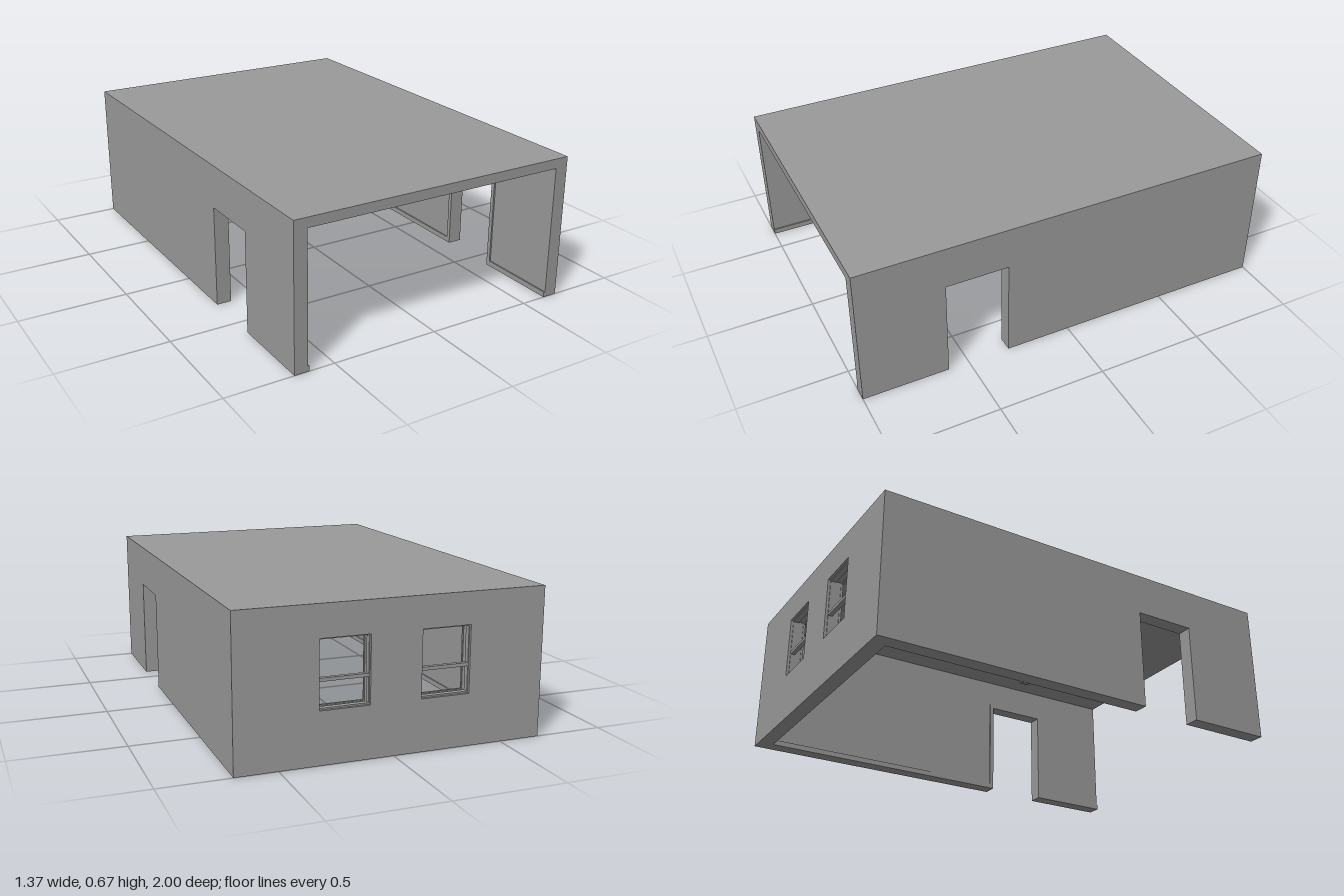
import * as THREE from 'three';

export function createModel() {
  const model = new THREE.Group();
  model.name = 'building';
  const material = new THREE.MeshStandardMaterial({ color: 0x9a9a9a, flatShading: true });

  const W = 0.687, H = 0.667, T = 0.062;      // half width, height, wall thickness
  const ceiling = 0.622, inner = W - T;
  const door = { z0: 0.305, z1: 0.598, top: 0.47, trim: 0.02 };

  function add(parent, name, geometry) {
    const mesh = new THREE.Mesh(geometry, material);
    mesh.name = name;
    parent.add(mesh);
    return mesh;
  }
  function box(parent, name, x0, x1, y0, y1, z0, z1) {
    const g = new THREE.BoxGeometry(x1 - x0, y1 - y0, z1 - z0);
    g.translate((x0 + x1) / 2, (y0 + y1) / 2, (z0 + z1) / 2);
    return add(parent, name, g);
  }
  function rect(Type, x0, x1, y0, y1) {
    return new Type([[x0, y0], [x1, y0], [x1, y1], [x0, y1]].map(p => new THREE.Vector2(...p)));
  }
  const extrude = (shape, depth) => new THREE.ExtrudeGeometry(shape, { depth, bevelEnabled: false });

  // Shape drawn as (z, y), extruded along x from x0
  function sidePanel(parent, name, points, x0, depth) {
    const shape = new THREE.Shape(points.map(([z, y]) => new THREE.Vector2(-z, y)));
    const g = extrude(shape, depth);
    g.rotateY(Math.PI / 2);
    g.translate(x0, 0, 0);
    return add(parent, name, g);
  }

  // Roof slab
  box(model, 'roof', -W, W, ceiling, H, -1, 1);

  // Side walls with a doorway each, inner door casing and baseboards
  for (const side of [1, -1]) {
    const wall = new THREE.Group();
    wall.name = side > 0 ? 'leftWall' : 'rightWall';
    model.add(wall);
    const { z0, z1, top, trim } = door;
    const at = (a, b) => (side > 0 ? a : -b);
    sidePanel(wall, 'wallWithDoorway', [
      [-1, 0], [z0, 0], [z0, top], [z1, top], [z1, 0], [1, 0], [1, ceiling], [-1, ceiling],
    ], at(inner, W), T);
    const t = 0.007;
    sidePanel(wall, 'doorCasing', [
      [z0 - trim, 0], [z0, 0], [z0, top], [z1, top], [z1, 0], [z1 + trim, 0],
      [z1 + trim, top + trim], [z0 - trim, top + trim],
    ], at(inner - t, inner), t);
    const b0 = at(inner - t, inner), b1 = b0 + t;
    box(wall, 'baseboardRear', b0, b1, 0, 0.025, -1 + T, z0 - trim);
    box(wall, 'baseboardFront', b0, b1, 0, 0.025, z1 + trim, 1);
  }

  // Back wall with two window openings
  const backShape = rect(THREE.Shape, -inner, inner, 0, ceiling);
  const windows = [[-0.341, -0.121], [0.108, 0.328]];
  const sill = 0.231, head = 0.526;
  for (const [x0, x1] of windows) backShape.holes.push(rect(THREE.Path, x0, x1, sill, head));
  add(model, 'backWall', extrude(backShape, T)).position.z = -1;
  box(model, 'backBaseboard', -inner, inner, 0, 0.025, -1 + T, -1 + T + 0.007);

  // Windows: inner casing, thin sash and crossbar
  for (const [x0, x1] of windows) {
    const win = new THREE.Group();
    win.name = 'window';
    model.add(win);
    const casing = rect(THREE.Shape, x0 - 0.007, x1 + 0.007, sill - 0.008, head + 0.012);
    casing.holes.push(rect(THREE.Path, x0 + 0.003, x1 - 0.003, sill + 0.005, head - 0.005));
    add(win, 'windowCasing', extrude(casing, 0.01)).position.z = -1 + T;
    const sash = rect(THREE.Shape, x0, x1, sill, head);
    sash.holes.push(rect(THREE.Path, x0 + 0.004, x1 - 0.004, sill + 0.007, head - 0.006));
    add(win, 'windowSash', extrude(sash, 0.025)).position.z = -0.988;
    box(win, 'windowCrossbar', x0, x1, 0.347, 0.362, -0.988, -0.968);
  }

  // Shallow ceiling track: a long narrow frame across the room
  const track = rect(THREE.Shape, -0.518, 0.515, -0.025, 0.025);
  track.holes.push(rect(THREE.Path, -0.508, 0.505, -0.013, 0.013));
  const trackGeometry = extrude(track, 0.012);
  trackGeometry.rotateX(Math.PI / 2);
  add(model, 'ceilingTrack', trackGeometry).position.set(0, ceiling, 0.44);

  return model;
}
